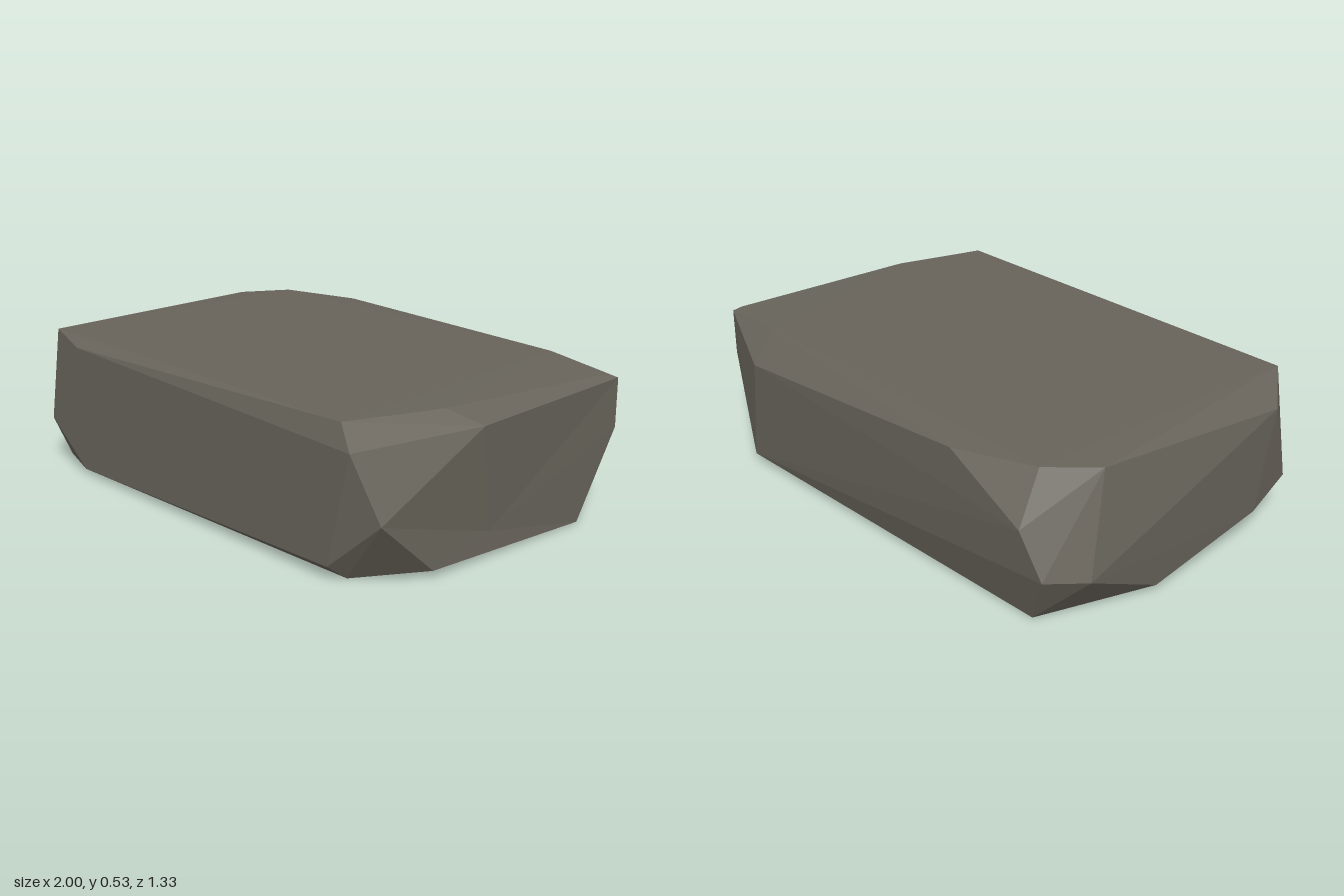
import * as THREE from 'three';
import { ConvexGeometry } from 'three/addons/geometries/ConvexGeometry.js';

const stone = new THREE.MeshStandardMaterial({ color: 0x67635a });
stone.name = 'stone grey';
stone.flatShading = true;

// Corners of the chipped slab, grouped by where they sit
const topRim = [
  [-0.84, 0.53, 0.61], [0.8, 0.53, 0.63], [0.91, 0.527, 0.28], [0.98, 0.515, -0.48],
  [0.68, 0.53, -0.54], [-0.5, 0.522, -0.66], [-0.8, 0.53, -0.55], [-0.93, 0.522, -0.39],
];
const frontFace = [
  [-0.83, 0.18, 0.66], [-0.61, 0.02, 0.66], [0.77, 0.05, 0.66],
  [0.87, 0.45, 0.66], [-0.63, 0.5, 0.66], [0.97, 0.23, 0.62],
];
const rightFace = [
  [1, 0.47, 0.19], [1, 0.5, -0.51], [1, 0.32, -0.51], [0.985, 0.03, 0.4], [0.99, 0.005, -0.33],
];
const backFace = [
  [0.63, 0.43, -0.66], [0.68, 0.03, -0.655], [-0.83, 0.36, -0.665], [-0.92, 0.2, -0.65],
];
const leftFace = [
  [-1, 0.485, 0.4], [-0.97, 0.17, 0.52], [-0.99, 0.1, 0.33], [-1, 0.18, -0.51], [-0.99, 0.02, -0.18],
];
const base = [
  [0.8, 0.003, 0.6], [0.95, 0.003, 0.13], [0.62, 0, -0.6], [-0.83, 0.005, -0.6], [-0.85, 0.003, 0.57],
];
// A chip in the lower right edge: seeded just outside the hull, then pushed in
const chipSeed = new THREE.Vector3(1.02, 0.04, 0.13);
const chip = new THREE.Vector3(0.98, 0.09, 0.13);

export function createModel() {
  const points = [topRim, frontFace, rightFace, backFace, leftFace, base]
    .flat().map(p => new THREE.Vector3(...p));
  const geometry = new ConvexGeometry([...points, chipSeed]);

  const pos = geometry.attributes.position;
  const v = new THREE.Vector3();
  for (let i = 0; i < pos.count; i++) {
    v.fromBufferAttribute(pos, i);
    if (v.distanceTo(chipSeed) < 1e-4) pos.setXYZ(i, chip.x, chip.y, chip.z);
  }
  geometry.computeVertexNormals();

  const slab = new THREE.Mesh(geometry, stone);
  slab.name = 'stoneSlab';
  const group = new THREE.Group();
  group.name = 'rock';
  group.add(slab);
  return group;
}
